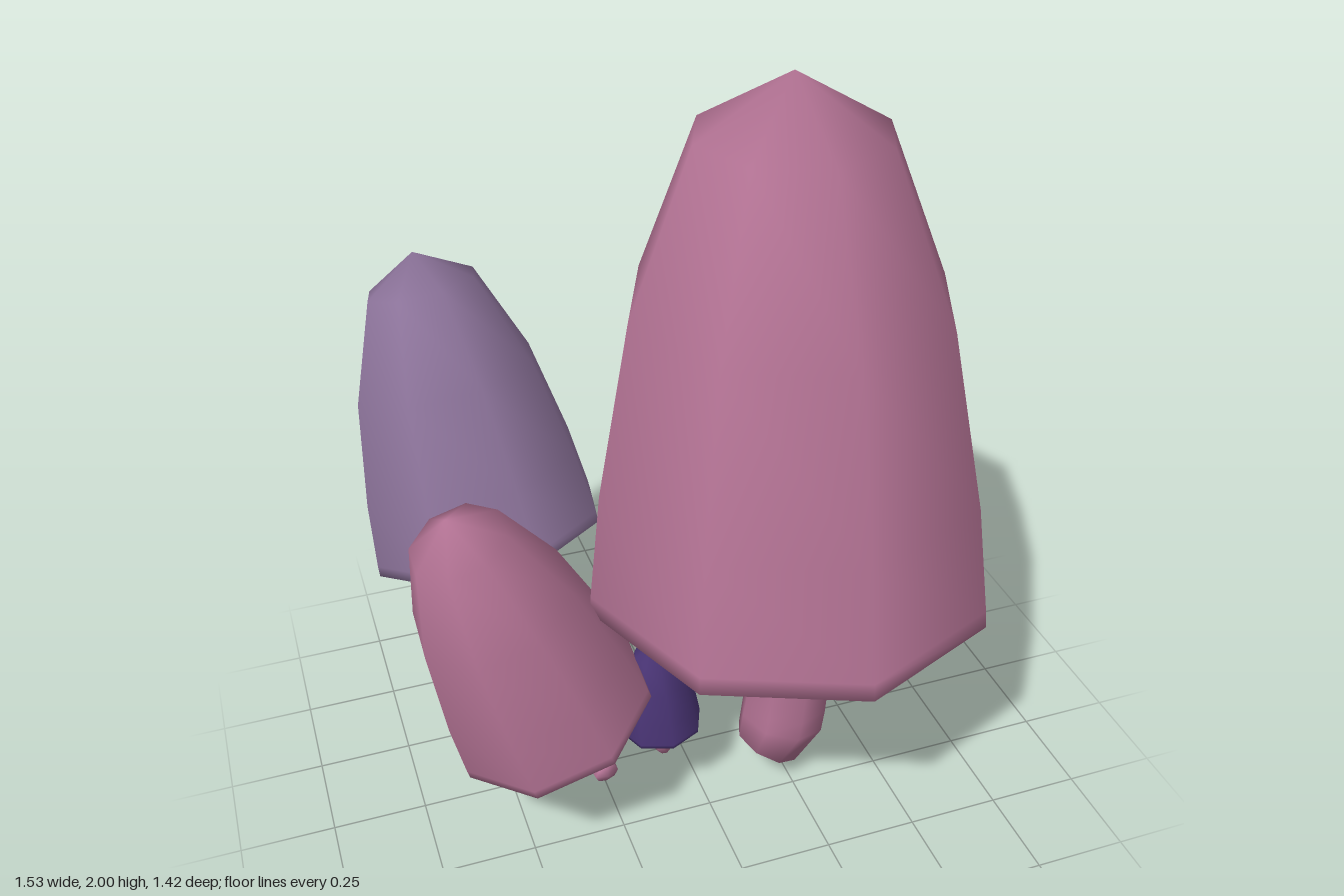
import * as THREE from 'three';
import { mergeVertices } from 'three/addons/utils/BufferGeometryUtils.js';

const SIDES = 8;
const V = (a) => new THREE.Vector3(...a);

const makeMaterial = (name, color) => {
  const m = new THREE.MeshStandardMaterial({ color });
  m.name = name;
  return m;
};

// Weld seams so the low-poly forms shade smoothly
function smooth(geo) {
  geo.deleteAttribute('normal');
  geo.deleteAttribute('uv');
  const g = mergeVertices(geo, 1e-5);
  g.computeVertexNormals();
  return g;
}

// Profiles as [radius, height] fractions of a cap
const BELL = [[0.93, 0], [0.995, 0], [0.99, 0.035], [0.925, 0.25], [0.76, 0.585], [0.453, 0.893], [0, 1]];
const GILLS = [[0, 0.03], [0.93, 0]];

// Eight-sided surface leaning from base to apex, its rim square to "up"
function capGeometry(profile, { base, apex, radius, up, turn = 0 }) {
  const b = V(base);
  const axis = V(apex).sub(b);
  const normal = (up ? V(up) : axis.clone()).normalize();
  const tilt = new THREE.Quaternion().setFromUnitVectors(new THREE.Vector3(0, 1, 0), normal);
  const geo = new THREE.LatheGeometry(profile.map(([r, h]) => new THREE.Vector2(r, h)), SIDES, turn);
  const pos = geo.attributes.position;
  for (let i = 0; i < pos.count; i++) {
    const p = new THREE.Vector3(pos.getX(i) * radius, 0, pos.getZ(i) * radius)
      .applyQuaternion(tilt).add(b).addScaledVector(axis, pos.getY(i));
    pos.setXYZ(i, p.x, p.y, p.z);
  }
  return smooth(geo);
}

// Curved stem from foot to cap with a blunt closed foot and changing radius
function stemGeometry({ path, foot, top }) {
  const steps = 12;
  const curve = new THREE.CatmullRomCurve3(path.map(V));
  const geo = new THREE.TubeGeometry(curve, steps, 1, SIDES);
  const pos = geo.attributes.position;
  const p = new THREE.Vector3();
  for (let i = 0; i <= steps; i++) {
    const centre = curve.getPointAt(i / steps);
    const place = i === 1 ? curve.getPointAt(0.012) : centre;
    const r = THREE.MathUtils.lerp(foot, top, i / steps) * (i === 0 ? 0 : i === 1 ? 0.78 : 1);
    for (let j = 0; j <= SIDES; j++) {
      const k = i * (SIDES + 1) + j;
      p.fromBufferAttribute(pos, k).sub(centre).multiplyScalar(r).add(place);
      pos.setXYZ(k, p.x, p.y, p.z);
    }
  }
  return smooth(geo);
}

export function createModel() {
  const pink = makeMaterial('dusty pink', 0xb27293);
  const mauve = makeMaterial('mauve', 0x8d749b);
  const indigo = makeMaterial('deep indigo', 0x493474);

  const mushrooms = [
    {
      name: 'largeMushroom', color: pink,
      cap: { base: [0.233, 0.7, 0.177], apex: [0.248, 2, 0.06], radius: 0.537, up: [0, 1, 0] },
      stem: {
        path: [[0.195, 0.095, 0.17], [0.235, 0.17, 0.17], [0.255, 0.3, 0.168], [0.262, 0.5, 0.162], [0.25, 0.75, 0.16]],
        foot: 0.122, top: 0.108,
      },
    },
    {
      name: 'tallBackMushroom', color: mauve,
      cap: { base: [-0.44, 0.61, -0.38], apex: [-0.55, 1.42, -0.53], radius: 0.333, up: [-0.11, 0.81, -0.2], turn: 0.23 },
      stem: {
        path: [[-0.245, 0.032, 0.09], [-0.265, 0.065, -0.04], [-0.31, 0.16, -0.19], [-0.37, 0.34, -0.325], [-0.42, 0.52, -0.375], [-0.435, 0.66, -0.375]],
        foot: 0.042, top: 0.066,
      },
    },
    {
      name: 'leaningMushroom', color: pink,
      cap: { base: [-0.41, 0.39, 0.145], apex: [-0.64, 1.06, 0.17], radius: 0.276, up: [-0.22, 0.67, 0.08], turn: 0.36 },
      stem: {
        path: [[-0.3, 0.115, 0.07], [-0.335, 0.14, 0.085], [-0.365, 0.22, 0.11], [-0.395, 0.33, 0.13], [-0.42, 0.43, 0.145]],
        foot: 0.05, top: 0.05,
      },
    },
    {
      name: 'tinyMushroom', color: indigo,
      cap: { base: [-0.107, 0.245, 0.14], apex: [-0.125, 0.52, 0.14], radius: 0.115 },
      stem: {
        path: [[-0.09, 0.125, 0.125], [-0.104, 0.16, 0.135], [-0.11, 0.21, 0.14], [-0.108, 0.27, 0.14]],
        foot: 0.023, top: 0.023,
      },
    },
  ];

  const model = new THREE.Group();
  model.name = 'mushroomCluster';
  for (const { name, color, cap, stem } of mushrooms) {
    const group = new THREE.Group();
    group.name = name;
    const add = (part, geo, mat) => {
      const mesh = new THREE.Mesh(geo, mat);
      mesh.name = part;
      group.add(mesh);
    };
    add('cap', capGeometry(BELL, cap), color);
    add('underside', capGeometry(GILLS, cap), pink);
    add('stem', stemGeometry(stem), pink);
    model.add(group);
  }
  return model;
}
